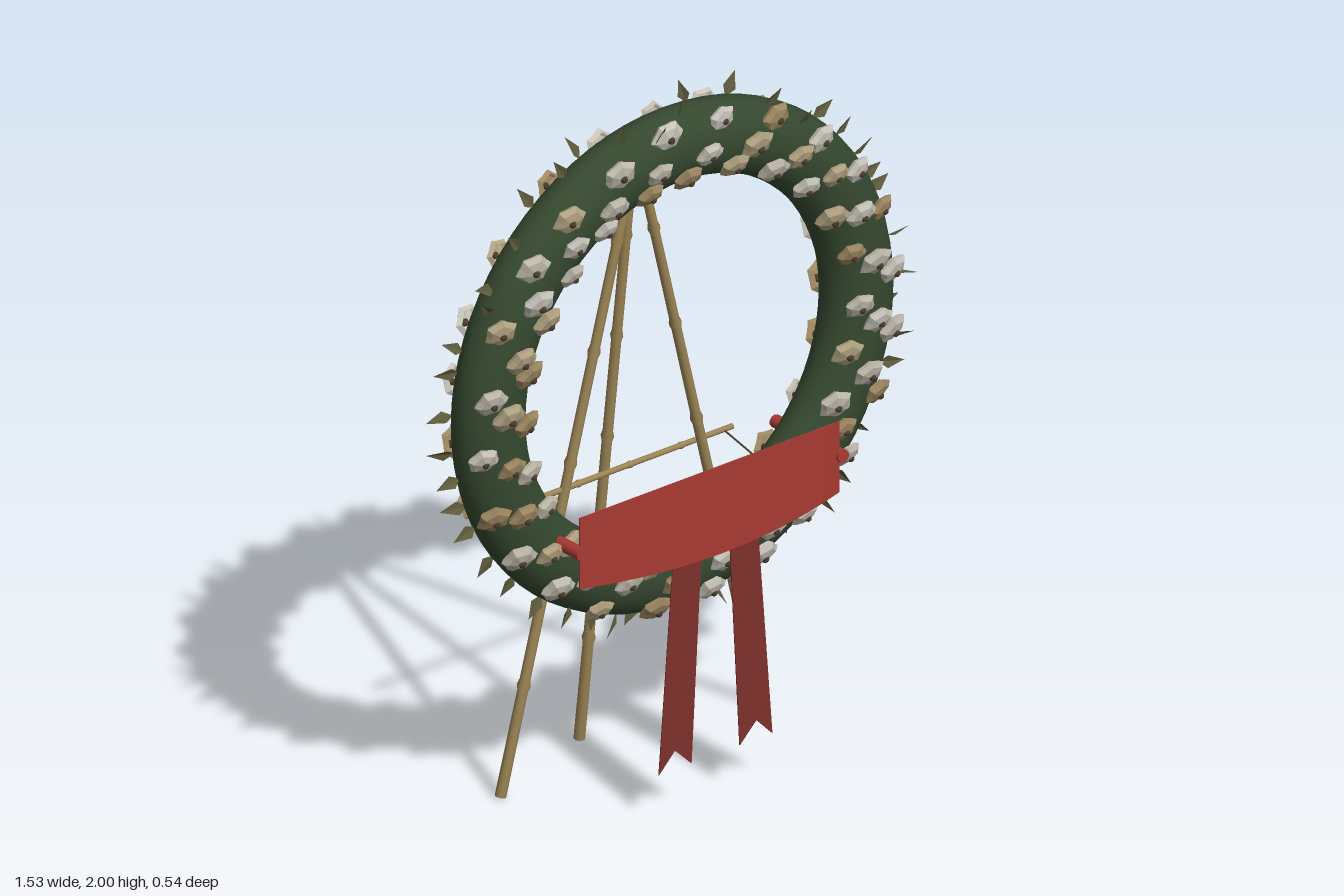
import * as THREE from 'three';

const UP = new THREE.Vector3(0, 1, 0);
const V = (x, y, z) => new THREE.Vector3(x, y, z);
const mat = (color, flatShading = false) =>
  new THREE.MeshStandardMaterial({ color, flatShading, side: THREE.DoubleSide });

const RING = { y: 1.23, z: 0.065, R: 0.61, r: 0.105, depth: 0.78 };

// small seeded generator
let seed = 7;
const rand = (a = 0, b = 1) => {
  seed = (seed * 16807) % 2147483647;
  return a + (b - a) * (seed / 2147483647);
};

const green = mat(0x35482f);
const bamboo = mat(0x9c8555);
const red = mat(0xa83a32);
const darkRed = mat(0x7f312c);
const leafMat = mat(0x5c5a3a, true);
const dark = mat(0x4a3c2c);
const petals = [0xc2bcae, 0xb5a684, 0xa08a62, 0xcac6bc].map(c => mat(c, true));

function add(parent, name, geometry, material) {
  const mesh = new THREE.Mesh(geometry, material);
  mesh.name = name;
  parent.add(mesh);
  return mesh;
}

// stand a y-axis part between two points
function between(mesh, a, b) {
  mesh.position.copy(a);
  mesh.quaternion.setFromUnitVectors(UP, b.clone().sub(a).normalize());
  return mesh;
}

// tapered cane with raised rings along its length
function cane(parent, name, a, b, r, nodes) {
  const len = a.distanceTo(b);
  const pts = [new THREE.Vector2(0, 0), new THREE.Vector2(r, 0)];
  for (let i = 1; i <= nodes; i++) {
    const y = (len * i) / (nodes + 1);
    const w = r * (1 - 0.1 * y / len);
    pts.push(new THREE.Vector2(w * 0.95, y - r), new THREE.Vector2(w * 1.22, y), new THREE.Vector2(w * 0.95, y + r));
  }
  pts.push(new THREE.Vector2(r * 0.9, len), new THREE.Vector2(0, len));
  return between(add(parent, name, new THREE.LatheGeometry(pts, 10), bamboo), a, b);
}

function rod(parent, name, a, b, r, material) {
  const geo = new THREE.CylinderGeometry(r, r, a.distanceTo(b), 10);
  geo.translate(0, a.distanceTo(b) / 2, 0);
  return between(add(parent, name, geo, material), a, b);
}

// low scalloped blossom opening along +y
function blossomGeometry() {
  const profile = [[0.036, -0.008], [0.046, 0.004], [0.034, 0.016], [0.012, 0.022], [0, 0.02]];
  const geo = new THREE.LatheGeometry(profile.map(p => new THREE.Vector2(...p)), 12);
  const p = geo.attributes.position;
  for (let i = 0; i < p.count; i++) {
    const k = 1 + 0.09 * Math.cos(6 * Math.atan2(p.getX(i), p.getZ(i)));
    p.setXYZ(i, p.getX(i) * k, p.getY(i), p.getZ(i) * k);
  }
  geo.computeVertexNormals();
  return geo;
}

// pointed leaf of unit length along +y, folded on its midrib
function leafGeometry() {
  const geo = new THREE.BufferGeometry();
  geo.setAttribute('position', new THREE.Float32BufferAttribute([
    0, 0, 0, 0.24, 0.35, 0.08, 0, 1, 0, -0.24, 0.35, 0.08], 3));
  geo.setIndex([0, 1, 2, 0, 2, 3]);
  geo.computeVertexNormals();
  return geo;
}

// blossoms on one face of the ring, nodding downward
function blossoms(parent, side, count, radii) {
  const group = new THREE.Group();
  group.name = side > 0 ? 'frontBlossoms' : 'backBlossoms';
  const geo = blossomGeometry();
  const centre = new THREE.SphereGeometry(0.011, 8, 6);
  for (let i = 0; i < count; i++) {
    const a = ((i + rand(-0.2, 0.2)) / count) * Math.PI * 2;
    const rad = radii[i % radii.length] + rand(-0.012, 0.012);
    const u = (rad - RING.R) / RING.r;
    const z = RING.z + side * Math.sqrt(1 - u * u) * RING.r * RING.depth;
    const flower = new THREE.Group();
    flower.name = 'blossom';
    flower.position.set(Math.cos(a) * rad, RING.y + Math.sin(a) * rad, z + side * 0.004);
    const n = V(Math.cos(a) * u * 0.4, Math.sin(a) * u * 0.4 - 0.5, side).normalize();
    flower.quaternion.setFromUnitVectors(UP, n);
    flower.scale.setScalar(rand(0.85, 1.05));
    add(flower, 'petals', geo, petals[Math.floor(rand(0, 4))]).rotation.y = rand(0, 3);
    add(flower, 'flowerCentre', centre, dark).position.y = 0.02;
    group.add(flower);
  }
  parent.add(group);
}

// leaves standing out around the outer rim
function leaves(parent, count) {
  const group = new THREE.Group();
  group.name = 'leaves';
  const geo = leafGeometry();
  for (let i = 0; i < count; i++) {
    const a = Math.PI / 2 + (i / count) * Math.PI * 2 + (i ? rand(-0.05, 0.05) : 0);
    const phi = i ? rand(-0.6, 0.8) : 0.3;
    const rad = RING.R + RING.r * Math.cos(phi) - 0.008;
    const swing = i ? rand(-0.35, 0.35) : 0;
    const leaf = add(group, 'leaf', geo, leafMat);
    leaf.position.set(Math.cos(a) * rad, RING.y + Math.sin(a) * rad, RING.z + RING.r * RING.depth * Math.sin(phi));
    const dir = V(Math.cos(a + swing), Math.sin(a + swing), phi * 0.8 + 0.1).normalize();
    leaf.quaternion.setFromUnitVectors(UP, dir);
    leaf.rotateY(rand(-0.8, 0.8));
    leaf.scale.setScalar(i ? rand(0.065, 0.08) : 0.075);
  }
  parent.add(group);
}

export function createModel() {
  seed = 7;
  const model = new THREE.Group();
  model.name = 'wreathOnStand';

  // wreath
  const wreath = new THREE.Group();
  wreath.name = 'wreath';
  const ring = add(wreath, 'wreathRing', new THREE.TorusGeometry(RING.R, RING.r, 20, 72), green);
  ring.position.set(0, RING.y, RING.z);
  ring.scale.z = RING.depth;
  blossoms(wreath, 1, 72, [0.55, 0.675, 0.61]);
  blossoms(wreath, -1, 44, [0.57, 0.655]);
  leaves(wreath, 46);
  model.add(wreath);

  // tripod
  const stand = new THREE.Group();
  stand.name = 'stand';
  cane(stand, 'rightLeg', V(-0.415, 0.005, -0.125), V(0.012, 1.82, -0.078), 0.0155, 5);
  cane(stand, 'leftLeg', V(0.435, 0.005, -0.11), V(-0.015, 1.82, -0.078), 0.0155, 5);
  cane(stand, 'rearLeg', V(-0.05, 0.003, -0.253), V(0, 1.81, -0.085), 0.0155, 5);
  cane(stand, 'crossbar', V(-0.34, 0.84, -0.108), V(0.34, 0.84, -0.108), 0.009, 3);
  for (const s of [-1, 1]) {
    rod(stand, 'tieWire', V(s * 0.31, 0.84, -0.108), V(s * 0.31, 0.815, 0.02), 0.0025, dark);
  }
  model.add(stand);

  // sash: bowed front, flat back, two pegs through the ring
  const sash = new THREE.Group();
  sash.name = 'sash';
  const front = new THREE.PlaneGeometry(0.86, 0.205, 20, 1);
  const p = front.attributes.position;
  for (let i = 0; i < p.count; i++) {
    const bow = 1 - (p.getX(i) / 0.43) ** 2;
    const sag = p.getY(i) < 0 ? 0.018 * bow : 0;
    p.setXYZ(i, p.getX(i), p.getY(i) - sag + 0.853, 0.219 + 0.048 * bow);
  }
  front.computeVertexNormals();
  add(sash, 'sashFront', front, red);
  add(sash, 'sashBack', new THREE.BoxGeometry(0.86, 0.205, 0.003), red).position.set(0, 0.853, 0.217);
  for (const s of [-1, 1]) {
    rod(sash, 'peg', V(s * 0.434, 0.848, -0.05), V(s * 0.434, 0.858, 0.232), 0.018, red);

    // swallow-tailed ribbon
    const tail = new THREE.Shape([[0.045, 0.78], [0.138, 0.78], [0.188, 0.14], [0.135, 0.195], [0.08, 0.14]]
      .map(([x, y]) => new THREE.Vector2(s * x, y)));
    add(sash, 'ribbonTail', new THREE.ExtrudeGeometry(tail, { depth: 0.003, bevelEnabled: false }), darkRed)
      .position.z = 0.241;
  }
  model.add(sash);
  return model;
}
